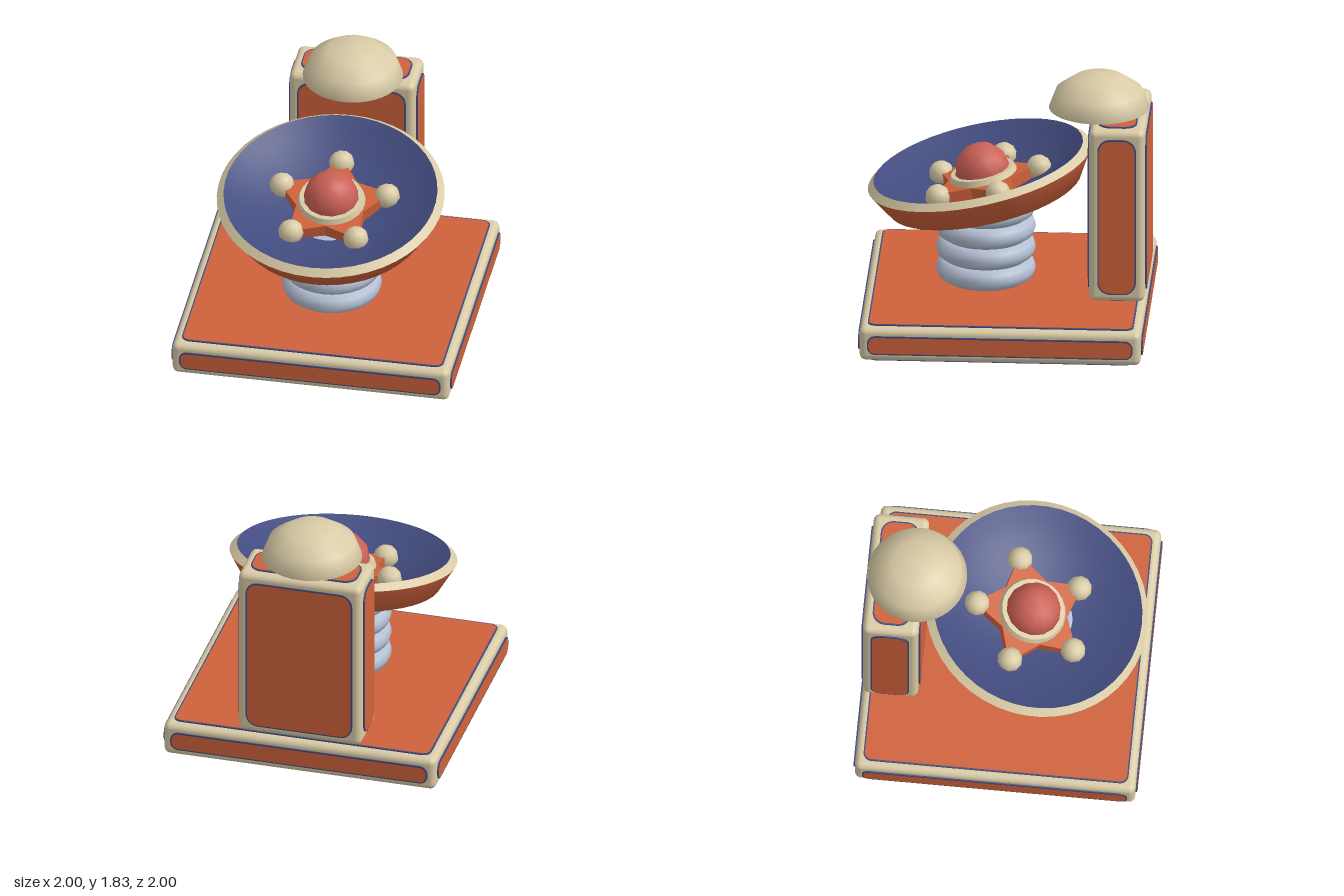
import * as THREE from 'three';
import { RoundedBoxGeometry } from 'three/addons/geometries/RoundedBoxGeometry.js';

const mat = (name, color, side = THREE.FrontSide) => {
  const m = new THREE.MeshStandardMaterial({ color, side });
  m.name = name;
  return m;
};

export function createModel() {
  const orange = mat('orange', 0xcf623b);
  const cream = mat('cream', 0xd9cba6);
  const navy = mat('navy', 0x434c80);
  const steel = mat('steel', 0xb4c0d4);
  const red = mat('red', 0xcb6156);

  const model = new THREE.Group();
  model.name = 'model';

  const add = (parent, name, geometry, material, x = 0, y = 0, z = 0) => {
    const mesh = new THREE.Mesh(geometry, material);
    mesh.name = name;
    mesh.position.set(x, y, z);
    parent.add(mesh);
    return mesh;
  };

  const roundedRect = (w, h, r) => {
    const s = new THREE.Shape();
    const x = w / 2, y = h / 2;
    s.absarc(x - r, y - r, r, 0, Math.PI / 2);
    s.absarc(-x + r, y - r, r, Math.PI / 2, Math.PI);
    s.absarc(-x + r, -y + r, r, Math.PI, Math.PI * 1.5);
    s.absarc(x - r, -y + r, r, Math.PI * 1.5, Math.PI * 2);
    s.closePath();
    return s;
  };

  // Rounded cream box with a navy-edged orange panel on each of its six faces
  function panelledBox(name, w, h, d, inset, corner) {
    const box = new THREE.Group();
    box.name = name;
    add(box, 'frame', new RoundedBoxGeometry(w, h, d, 4, 0.045), cream);
    const H = Math.PI / 2;
    const faces = [
      ['front', w, h, d, 0, 0], ['back', w, h, d, 0, Math.PI],
      ['left', d, h, w, 0, H], ['right', d, h, w, 0, -H],
      ['top', w, d, h, -H, 0], ['bottom', w, d, h, H, 0],
    ];
    for (const [label, fw, fh, depth, rx, ry] of faces) {
      const side = new THREE.Group();
      side.name = label + 'Panel';
      side.rotation.set(rx, ry, 0);
      const pw = fw - inset * 2, ph = fh - inset * 2;
      const r = Math.min(corner, pw * 0.4, ph * 0.4);
      const edge = new THREE.ExtrudeGeometry(roundedRect(pw + 0.02, ph + 0.02, r + 0.01),
        { depth: 0.009, bevelEnabled: false, curveSegments: 6 });
      add(side, 'panelEdge', edge, navy, 0, 0, depth / 2 + 0.002);
      add(side, 'panelFace', new THREE.ShapeGeometry(roundedRect(pw, ph, r), 6), orange, 0, 0, depth / 2 + 0.013);
      box.add(side);
    }
    model.add(box);
    return box;
  }

  panelledBox('base', 1.972, 0.246, 1.972, 0.064, 0.05).position.y = 0.136;
  panelledBox('column', 0.892, 1.28, 0.39, 0.07, 0.08).position.set(0, 0.926, -0.788);

  // Dome cap over the column
  const cap = add(model, 'domeCap', new THREE.SphereGeometry(0.352, 40, 3, 0, Math.PI * 2, 0, Math.PI / 2), cream, 0, 1.582, -0.64);
  cap.scale.y = 0.715;
  add(model, 'domeUnderside', new THREE.CircleGeometry(0.35, 40), navy, 0, 1.583, -0.64).rotation.x = Math.PI / 2;

  // Stacked coils
  for (let i = 0; i < 4; i++) {
    add(model, 'coil', new THREE.TorusGeometry(0.27, 0.08, 10, 32), steel, 0, 0.368 + i * 0.155, 0.155).rotation.x = Math.PI / 2;
  }

  // Tilted bowl
  const tilt = THREE.MathUtils.degToRad(12);
  const bowl = new THREE.Group();
  bowl.name = 'bowl';
  bowl.position.set(0, 1.1125, 0.2);
  bowl.rotation.x = tilt;
  model.add(bowl);
  const lathe = (pts) => new THREE.LatheGeometry(pts.map(([x, y]) => new THREE.Vector2(x, y)), 48);
  add(bowl, 'bowlShell', lathe([[0, -0.305], [0.34, -0.305], [0.69, -0.187], [0.8, 0]]), orange);
  add(bowl, 'bowlRim', lathe([[0.8, 0], [0.75, 0.043]]), cream);
  const inner = [];
  for (let i = 0; i <= 8; i++) {
    const r = 0.75 * (1 - i / 8);
    inner.push([r, -0.18 + 1.373 - Math.sqrt(1.373 ** 2 - r * r)]);
  }
  add(bowl, 'bowlInside', lathe(inner), navy);

  // Star with a domed hub and a ball on every tip
  const hub = new THREE.Group();
  hub.name = 'starHub';
  hub.position.set(0, 1.035, 0.168);
  hub.rotation.x = tilt;
  model.add(hub);
  const star = new THREE.Shape();
  for (let i = 0; i < 10; i++) {
    const a = Math.PI / 2 + (i * Math.PI) / 5, r = i % 2 ? 0.25 : 0.42;
    star[i ? 'lineTo' : 'moveTo'](Math.cos(a) * r, Math.sin(a) * r);
  }
  star.closePath();
  add(hub, 'star', new THREE.ExtrudeGeometry(star, { depth: 0.1, bevelEnabled: false }), orange, 0, -0.08, 0).rotation.x = -Math.PI / 2;
  for (let i = 0; i < 5; i++) {
    const a = (i * Math.PI * 2) / 5;
    add(hub, 'tipBall', new THREE.SphereGeometry(0.09, 10, 6), cream, Math.sin(a) * 0.394, 0, -Math.cos(a) * 0.394);
  }
  add(hub, 'hubRing', new THREE.CylinderGeometry(0.225, 0.245, 0.055, 24), cream, 0, 0.032, 0);
  add(hub, 'hubDome', new THREE.SphereGeometry(0.194, 14, 3, 0, Math.PI * 2, 0, Math.PI / 2), red, 0, 0.06, 0);

  return model;
}
